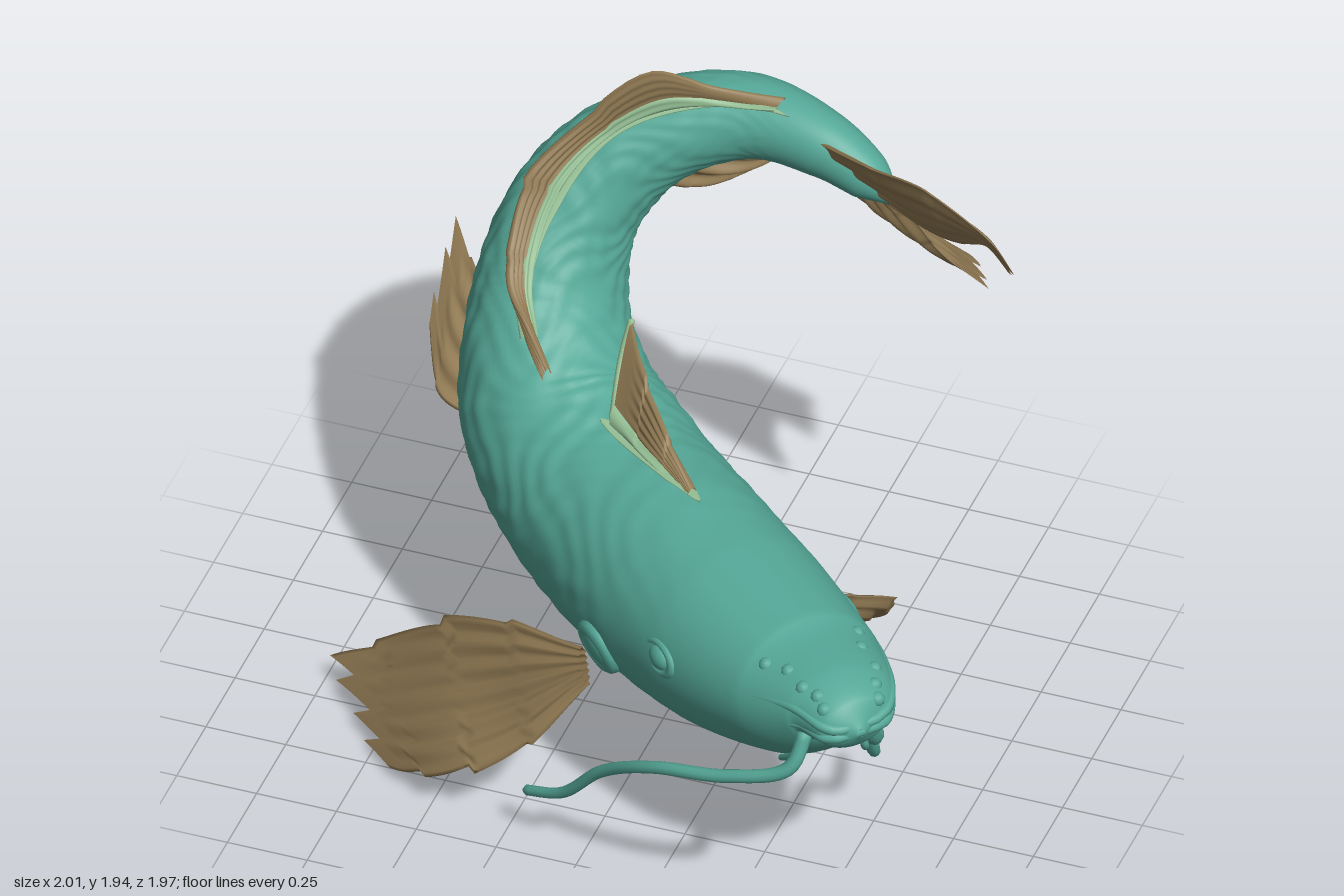
import * as THREE from 'three';

const teal = new THREE.MeshStandardMaterial({ color: 0x55a898 });
teal.name = 'teal skin';
const brown = new THREE.MeshStandardMaterial({ color: 0x927b54, side: THREE.DoubleSide });
brown.name = 'brown fin';
const pale = new THREE.MeshStandardMaterial({ color: 0x93bd93, side: THREE.DoubleSide });
pale.name = 'pale green fin base';

const V = (x, y, z) => new THREE.Vector3(x, y, z);
const curve = (pts) => new THREE.CatmullRomCurve3(pts.map((p) => (p.isVector3 ? p : V(...p))));
const frac = (x) => x - Math.floor(x);

// Skin over a rule fn(u, v), closed around v
function loft(fn, nu, nv) {
  const pos = [], idx = [];
  for (let i = 0; i <= nu; i++) {
    for (let j = 0; j < nv; j++) pos.push(...fn(i / nu, j / nv).toArray());
  }
  for (let i = 0; i < nu; i++) {
    for (let j = 0; j < nv; j++) {
      const k = (j + 1) % nv, a = i * nv + j, b = a + nv, c = i * nv + k, d = c + nv;
      idx.push(a, b, c, c, b, d);
    }
  }
  const g = new THREE.BufferGeometry();
  g.setAttribute('position', new THREE.Float32BufferAttribute(pos, 3));
  g.setIndex(idx);
  g.computeVertexNormals();
  return g;
}

// Body sections from snout to tail: centre, dorsal direction, half width, half height
const sections = [
  [[0.955, 0.885, 0.92], [0, 1, 0], 0.015, 0.015],
  [[0.92, 0.885, 0.888], [0, 1, 0], 0.11, 0.08],
  [[0.85, 0.888, 0.805], [0, 1, 0], 0.175, 0.122],
  [[0.7, 0.822, 0.67], [0, 1, 0], 0.25, 0.215],
  [[0.4, 0.76, 0.43], [0, 1, 0], 0.31, 0.305],
  [[0.1, 0.74, 0.19], [0, 1, 0], 0.325, 0.34],
  [[-0.19, 0.77, -0.05], [0.05, 0.95, 0.2], 0.325, 0.335],
  [[-0.41, 0.9, -0.235], [0.15, 0.7, 0.7], 0.3, 0.32],
  [[-0.505, 1.15, -0.41], [0, 0.5, 0.85], 0.23, 0.272],
  [[-0.465, 1.42, -0.545], [-0.15, 0.45, 0.9], 0.19, 0.21],
  [[-0.28, 1.63, -0.66], [-0.4, 0.6, 0.7], 0.155, 0.165],
  [[0, 1.73, -0.73], [-0.1, 0.8, 0.6], 0.128, 0.13],
  [[0.25, 1.71, -0.7], [0.1, 0.8, 0.55], 0.1, 0.11],
  [[0.4, 1.65, -0.67], [0.2, 0.8, 0.5], 0.072, 0.08],
  [[0.5, 1.6, -0.64], [0.3, 0.8, 0.5], 0.008, 0.015],
];
const last = sections.length - 1;
const spine = curve(sections.map((s) => s[0]));
const dorsal = curve(sections.map((s) => s[1]));
const size = curve(sections.map((s) => [s[2], s[3], 0]));

// Point on the skin at section number i and angle a (0 = left, PI/2 = back), lifted outward
function skin(i, a, lift = 0) {
  const t = THREE.MathUtils.clamp(i / last, 0, 1);
  const T = spine.getTangent(t), U = dorsal.getPoint(t), s = size.getPoint(t);
  U.addScaledVector(T, -U.dot(T)).normalize();
  const S = T.clone().cross(U);
  return spine.getPoint(t)
    .addScaledVector(S, Math.cos(a) * (s.x + lift))
    .addScaledVector(U, Math.sin(a) * (s.y + lift));
}

// Fin stretched between two edge curves, with rays, ragged border and a thin lens section
function fin(edgeA, edgeB, { rays = 6, ripple = 0.01, thick = 0.014, ragged = 0.13, teeth = 4, to = 1, base = false } = {}) {
  const A = curve(edgeA), B = curve(edgeB);
  return loft((u, v) => {
    const side = v < 0.5 ? 1 : -1;
    const across01 = side > 0 ? v * 2 : 2 - 2 * v;
    const lens = Math.sqrt(Math.max(0, Math.sin(Math.PI * across01)));
    const s = across01 * to;
    // finger-like trailing border, or a toothed crest when the fin is rooted along edge A
    const uu = base ? u : u * (1 - ragged * frac(s * rays * 0.6 + 0.2) * u);
    const a = A.getPoint(uu), b = B.getPoint(uu);
    const across = b.clone().sub(a);
    const n = A.getTangent(uu).cross(across).normalize();
    const tooth = ragged * frac(u * teeth) * Math.sin(Math.PI * u);
    const w = base ? s * (1 - 2 * tooth) : s + (s - 0.5) * tooth;
    const wave = ripple * Math.sin(s * rays * Math.PI * 2 + u * 2) + ripple * 1.2 * Math.sin(u * 7 + s * 3);
    const t = thick * lens * (base ? 1 : 1 - 0.85 * u * u);
    return a.addScaledVector(across, w).addScaledVector(n, wave * Math.sin(Math.PI * Math.min(1, u + 0.15)) + side * t);
  }, 48, 72);
}

// Tapering feeler along a path, closed at both ends
function feeler(pts, r) {
  const c = curve(pts), f = c.computeFrenetFrames(60);
  return loft((u, v) => {
    const k = Math.round(u * 60), a = v * Math.PI * 2;
    const rr = u === 1 || u === 0 ? 0.001 : r * (1 - 0.3 * u);
    return c.getPointAt(u)
      .addScaledVector(f.normals[k], Math.cos(a) * rr)
      .addScaledVector(f.binormals[k], -Math.sin(a) * rr);
  }, 60, 10);
}

export function createModel() {
  const g = new THREE.Group();
  const add = (name, geo, mat, parent = g) => {
    const m = new THREE.Mesh(geo, mat);
    m.name = name;
    parent.add(m);
    return m;
  };

  // Body with faint irregular bumps behind the head
  add('body', loft((u, v) => {
    const i = u * last, a = v * Math.PI * 2;
    const fade = THREE.MathUtils.smoothstep(i, 3.5, 6) * (1 - THREE.MathUtils.smoothstep(i, 9, 12));
    const bump = Math.sin(a * 13 + 2 * Math.sin(i * 5)) * Math.sin(i * 15 + 2 * Math.sin(a * 5));
    return skin(i, a, 0.005 * fade * bump);
  }, 196, 96), teal);

  // Mouth: two lips that wrap around the snout and sink into the cheeks
  const lip = (a, back) => {
    const pts = [];
    for (let k = -10; k <= 10; k++) {
      const q = Math.abs(k) / 10;
      const i = 0.6 + (back - 0.6) * q * q;
      if (k !== 0) pts.push(skin(i, k < 0 ? a : Math.PI - a, -0.006 - 0.014 * q * q));
    }
    return pts;
  };
  add('upperLip', feeler(lip(0.28, 3.4), 0.02), teal);
  add('lowerLip', feeler(lip(-0.25, 2.3), 0.02), teal);

  // Eyes, fin shoulders and snout bumps on both sides
  for (const left of [true, false]) {
    const side = left ? 'left' : 'right';
    const ang = (a) => (left ? a : Math.PI - a);
    const head = new THREE.Group();
    head.name = side + 'HeadDetails';
    g.add(head);

    const out = V(left ? 0.62 : -0.62, 0.1, left ? -0.78 : 0.78);
    const facing = (name, p, dir) => {
      const o = new THREE.Group();
      o.name = name;
      o.position.copy(p);
      o.lookAt(p.clone().add(dir));
      head.add(o);
      return o;
    };
    const eye = facing(side + 'Eye', skin(left ? 3.65 : 3.93, ang(0.13), -0.016), out);
    add('eyeball', new THREE.SphereGeometry(0.05, 20, 14), teal, eye).scale.set(1, 0.8, 0.6);
    add('eyelid', new THREE.TorusGeometry(0.06, 0.018, 10, 28), teal, eye).scale.set(1.1, 0.75, 1);

    const shoulder = facing(side + 'FinShoulder', skin(left ? 4.6 : 4.82, ang(-0.4), -0.01), out.clone().setY(-0.3));
    add('shoulderPad', new THREE.SphereGeometry(0.075, 20, 14), teal, shoulder).scale.set(1, 1, 0.5);
    add('shoulderRidge', new THREE.TorusGeometry(0.065, 0.03, 10, 28), teal, shoulder);

    for (let k = 0; k < 5; k++) {
      const bump = add('snoutBump', new THREE.SphereGeometry(0.024, 10, 8), teal, head);
      bump.position.copy(skin(1.3 + k * 0.36, ang(0.8 + 0.1 * (k % 2)), -0.014));
    }
  }

  // Feelers under the mouth
  add('rightFeeler', feeler([[0.78, 0.85, 0.9], [0.74, 0.72, 0.95], [0.55, 0.64, 0.95], [0.3, 0.57, 0.9],
    [0.1, 0.43, 0.8], [-0.05, 0.26, 0.73], [-0.2, 0.18, 0.66]], 0.023), teal);
  add('leftFeeler', feeler([[0.92, 0.86, 0.78], [0.92, 0.72, 0.72], [0.88, 0.62, 0.58], [0.79, 0.48, 0.42],
    [0.77, 0.32, 0.3], [0.69, 0.23, 0.11]], 0.024), teal);
  add('rightChinFeeler', feeler([[0.74, 0.8, 0.86], [0.73, 0.71, 0.86], [0.66, 0.63, 0.8]], 0.014), teal);
  add('leftChinFeeler', feeler([[0.9, 0.82, 0.8], [0.92, 0.74, 0.79], [0.89, 0.68, 0.72]], 0.014), teal);

  // Pectoral fins
  add('rightPectoralFin', fin(
    [[-0.07, 0.63, 0.5], [-0.35, 0.54, 0.36], [-0.6, 0.41, 0.28], [-0.85, 0.2, 0.2], [-1, 0.1, 0.16]],
    [[-0.03, 0.54, 0.56], [-0.2, 0.34, 0.65], [-0.38, 0.21, 0.66], [-0.58, 0.09, 0.58], [-0.72, 0.02, 0.5]]), brown);
  add('leftPectoralFin', fin(
    [[0.48, 0.65, 0.08], [0.57, 0.53, -0.1], [0.6, 0.37, -0.33], [0.5, 0.2, -0.46], [0.36, 0.04, -0.62]],
    [[0.38, 0.54, 0.1], [0.33, 0.36, -0.06], [0.31, 0.24, -0.22], [0.25, 0.1, -0.45], [0.2, 0.01, -0.64]]), brown);

  // Pelvic and anal fins
  add('pelvicFin', fin(
    [[-0.5, 0.8, -0.45], [-0.72, 0.85, -0.62], [-0.88, 0.88, -0.79], [-1, 0.94, -0.95]],
    [[-0.5, 0.64, -0.35], [-0.7, 0.63, -0.4], [-0.87, 0.65, -0.48], [-0.99, 0.76, -0.69]], { rays: 4, ragged: 0.08 }), brown);
  add('analFin', fin(
    [[-0.15, 1.58, -0.76], [-0.03, 1.53, -0.84], [0.06, 1.52, -0.9], [0.14, 1.54, -0.99]],
    [[-0.32, 1.42, -0.7], [-0.18, 1.37, -0.82], [-0.02, 1.4, -0.93], [0.12, 1.5, -0.99]], { rays: 3, ragged: 0.08 }), brown);

  // Tail lobes
  add('upperTailLobe', fin(
    [[0.25, 1.77, -0.63], [0.48, 1.86, -0.43], [0.72, 1.92, -0.32], [0.93, 1.86, -0.25], [1.01, 1.75, -0.25]],
    [[0.44, 1.59, -0.66], [0.62, 1.53, -0.66], [0.76, 1.57, -0.57], [0.87, 1.69, -0.42], [0.99, 1.73, -0.27]], { rays: 4, ragged: 0.06 }), brown);
  add('lowerTailLobe', fin(
    [[0.45, 1.62, -0.64], [0.54, 1.5, -0.67], [0.65, 1.39, -0.69], [0.78, 1.33, -0.67]],
    [[0.26, 1.63, -0.73], [0.33, 1.47, -0.82], [0.46, 1.32, -0.91], [0.67, 1.26, -0.88]], { rays: 4, ragged: 0.08 }), brown);

  // Dorsal fins: brown crests, pale lower bands and a pale patch of skin along each base
  const rules = { base: true, ripple: 0.004, ragged: 0.06 };
  const back = (i) => skin(i, Math.PI / 2, -0.015);
  const patch = (from, to, spread) => loft((u, v) => {
    const a = v * Math.PI * 2, w = spread * Math.sqrt(Math.max(0, Math.sin(Math.PI * u)));
    return skin(from + (to - from) * u, Math.PI / 2 + Math.cos(a) * w, 0.004 + 0.004 * Math.sin(a));
  }, 40, 16);

  const frontBase = [4.75, 5.1, 5.5, 5.95].map(back);
  const frontCrest = [[0.18, 1.1, 0.25], [0.07, 1.19, 0.14], [-0.06, 1.26, -0.02], [-0.16, 1.34, -0.17]];
  add('frontDorsalFin', fin(frontBase, frontCrest, { ...rules, teeth: 3 }), brown);
  add('frontDorsalBand', fin(frontBase, frontCrest, { ...rules, teeth: 3, thick: 0.024, to: 0.24 }), pale);
  add('frontDorsalTrailingEdge', feeler([frontBase[3], [-0.17, 1.23, -0.11], frontCrest[3]], 0.016), pale);
  add('frontDorsalPatch', patch(4.6, 6.15, 0.1), pale);

  const rearCrest = [[-0.38, 1.18, -0.05], [-0.45, 1.3, -0.08], [-0.53, 1.4, -0.13], [-0.56, 1.5, -0.22], [-0.56, 1.64, -0.33],
    [-0.43, 1.8, -0.46], [-0.24, 1.97, -0.55], [-0.08, 1.89, -0.63], [0.13, 1.86, -0.69]];
  const rearBase = rearCrest.map((p, k) => back(7.1 + k * 0.54));
  add('rearDorsalFin', fin(rearBase, rearCrest, { ...rules, teeth: 6 }), brown);
  add('rearDorsalBand', fin(rearBase.slice(1), rearCrest.slice(1), { ...rules, teeth: 5, thick: 0.026, to: 0.4 }), pale);
  add('rearDorsalPatch', patch(7.7, 11.6, 0.16), pale);

  return g;
}
